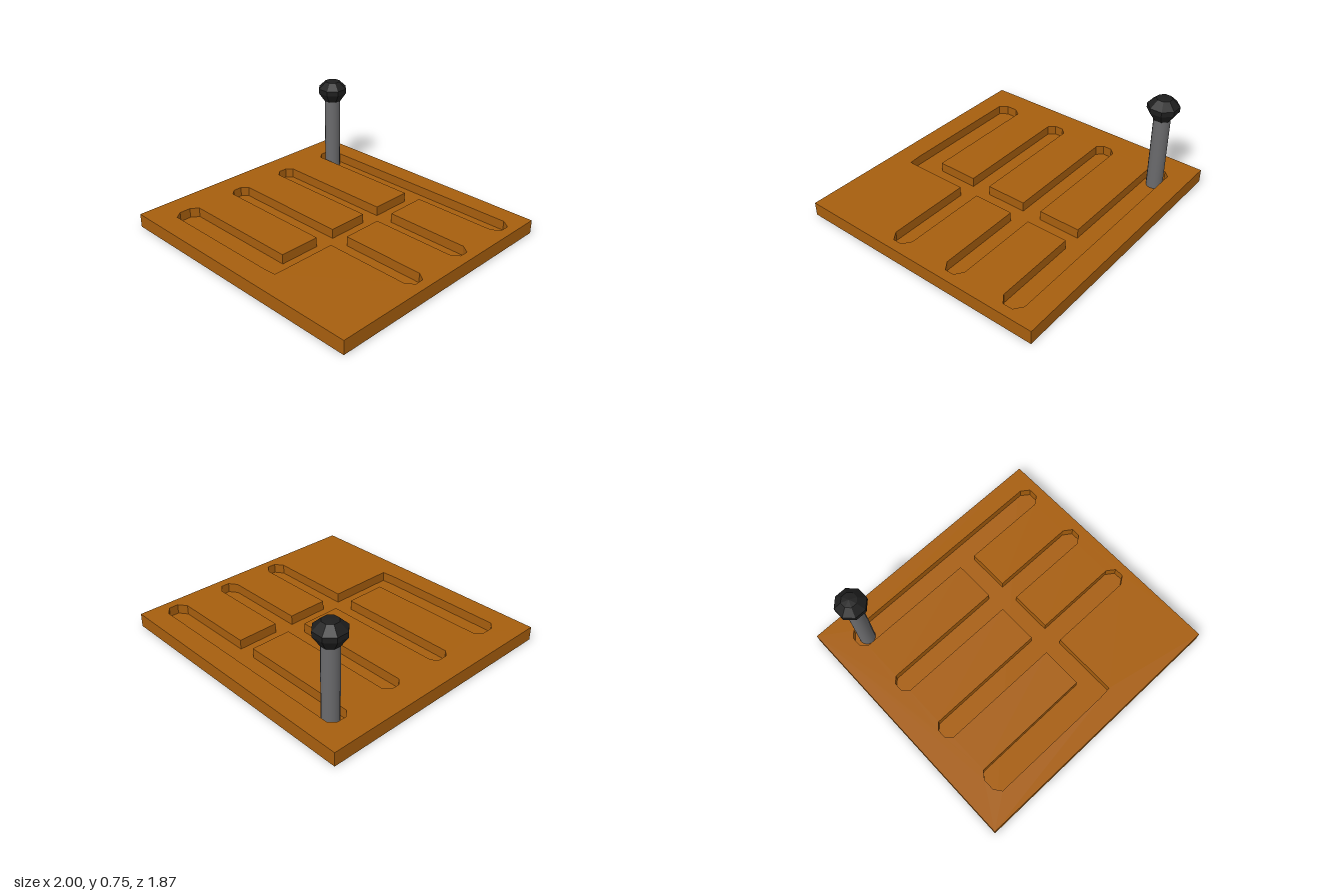
import * as THREE from 'three';

const HALF_X = 1, HALF_Z = 0.933, TOP = 0.1, FLOOR = 0.03;
const LEVER_X = -0.73, LEVER_Z = -0.71;

// Chamfered slot ends: x of the tip and of the straight edges
const LEFT_TIP = -0.82, LEFT = -0.78, RIGHT_TIP = 0.93, RIGHT = 0.87;
const TRUNK_L = 0.11, TRUNK_R = 0.245;
const SLOTS = [[-0.785, -0.627], [-0.32, -0.173], [0.13, 0.28], [0.585, 0.775]];

// Points of one slot end, from its back edge to its front edge
function slotEnd(z0, z1, x, tip) {
  const c = (z1 - z0) * 0.28;
  return [[x, z0], [tip, z0 + c], [tip, z1 - c], [x, z1]];
}

// Outline of the gear gate: slots joined by one straight channel
function gatePoints() {
  const points = [];
  SLOTS.slice(0, 3).forEach(([z0, z1], i) => {
    points.push(...slotEnd(z0, z1, RIGHT, RIGHT_TIP), [TRUNK_R, z1]);
    points.push([TRUNK_R, i < 2 ? SLOTS[i + 1][0] : 0.768]);
  });
  points.push([0.15, 0.775]);
  for (let i = 3; i >= 0; i--) {
    const [z0, z1] = SLOTS[i];
    if (i < 3) points.push([TRUNK_L, z1]);
    points.push(...slotEnd(z0, z1, LEFT, LEFT_TIP).reverse());
    if (i > 0) points.push([TRUNK_L, z0]);
  }
  return points.map(([x, z]) => new THREE.Vector2(x, -z));
}

export function createModel() {
  const wood = new THREE.MeshStandardMaterial({ color: 0xa65e0e });
  wood.name = 'orangeBrown';
  const steel = new THREE.MeshStandardMaterial({ color: 0x6a6a6c });
  steel.name = 'grey';
  const black = new THREE.MeshStandardMaterial({ color: 0x1e1e1e, flatShading: true });
  black.name = 'black';

  const group = new THREE.Group();
  const add = (name, geometry, material, x = 0, y = 0, z = 0) => {
    const mesh = new THREE.Mesh(geometry, material);
    mesh.name = name;
    mesh.position.set(x, y, z);
    group.add(mesh);
  };

  // Solid base, whose top is the floor of the channels
  add('basePlate', new THREE.BoxGeometry(2 * HALF_X, FLOOR, 2 * HALF_Z), wood, 0, FLOOR / 2, 0);

  // Upper plate with the gate cut through it
  const plate = new THREE.Shape([
    new THREE.Vector2(-HALF_X, -HALF_Z), new THREE.Vector2(HALF_X, -HALF_Z),
    new THREE.Vector2(HALF_X, HALF_Z), new THREE.Vector2(-HALF_X, HALF_Z),
  ]);
  plate.holes.push(new THREE.Path(gatePoints()));
  const gate = new THREE.ExtrudeGeometry(plate, { depth: TOP - FLOOR, bevelEnabled: false });
  gate.rotateX(-Math.PI / 2);
  add('gatePlate', gate, wood, 0, FLOOR, 0);

  // Lever shaft standing in the back slot
  const shaftHeight = 0.6 - FLOOR;
  add('leverShaft', new THREE.CylinderGeometry(0.059, 0.059, shaftHeight, 16), steel,
    LEVER_X, FLOOR + shaftHeight / 2, LEVER_Z);

  // Eight-sided knob, turned so its flats face the axes
  const profile = [[0, 0.585], [0.064, 0.585], [0.112, 0.655], [0.112, 0.69], [0.056, 0.742], [0, 0.75]]
    .map(([r, y]) => new THREE.Vector2(r, y));
  const knob = new THREE.LatheGeometry(profile, 8, Math.PI / 8);
  add('leverKnob', knob, black, LEVER_X, 0, LEVER_Z);

  return group;
}
